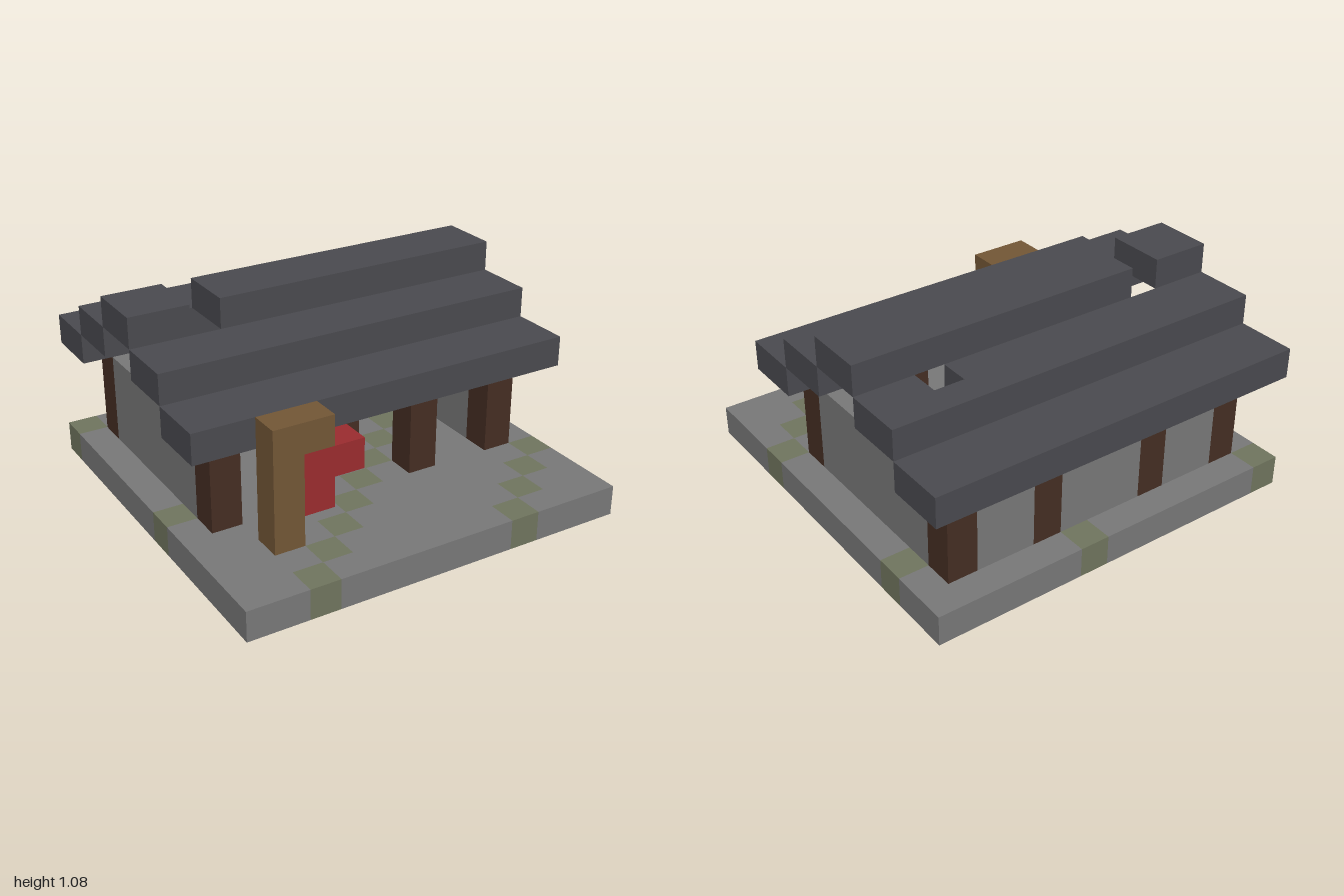
import * as THREE from 'three';
import { mergeGeometries } from 'three/addons/utils/BufferGeometryUtils.js';

const N = 13;        // cells along each side of the base
const U = 2 / N;     // size of one cell

const paint = (name, color) => {
  const m = new THREE.MeshStandardMaterial({ color });
  m.name = name;
  return m;
};

// Box covering whole cells: first cell (i, j, k) along x, y, z and its size in cells
function cells(i, j, k, w = 1, h = 1, d = 1) {
  return new THREE.BoxGeometry(w * U, h * U, d * U)
    .translate((i + w / 2) * U - 1, (j + h / 2) * U, (k + d / 2) * U - 1);
}

export function createModel() {
  const stone = paint('stone grey', 0x787878);
  const moss = paint('mossy stone', 0x70755e);
  const slate = paint('dark slate', 0x4a4a4f);
  const timber = paint('dark timber', 0x452e23);
  const oak = paint('oak wood', 0x735736);
  const red = paint('red cloth', 0x9b2c2f);

  const model = new THREE.Group();
  model.name = 'openHall';
  const add = (name, material, ...geos) => {
    const mesh = new THREE.Mesh(geos.length > 1 ? mergeGeometries(geos) : geos[0], material);
    mesh.name = name;
    model.add(mesh);
  };

  // Base slab: rows of stone broken by diagonal lines of mossy blocks
  const stoneRuns = [], mossBlocks = [];
  for (let k = 0; k < N; k++) {
    let start = 0;
    for (let i = 0; i <= N; i++) {
      const mossy = i < N && (i + k) % 7 === 0;
      if (!mossy && i < N) continue;
      if (i > start) stoneRuns.push(cells(start, 0, k, i - start));
      if (mossy) mossBlocks.push(cells(i, 0, k));
      start = i + 1;
    }
  }
  add('baseStone', stone, ...stoneRuns);
  add('baseMoss', moss, ...mossBlocks);

  // Posts along the open front and the back
  for (const i of [1, 4, 8, 11]) {
    add('frontPost', timber, cells(i, 1, 8, 1, 3));
    add('backPost', timber, cells(i, 1, 1, 1, 3));
  }

  // Walls: back panels between posts and the two sides
  add('backWall', stone,
    cells(2, 1, 1, 2, 3), cells(5, 1, 1, 3, 3), cells(9, 1, 1, 2, 3));
  for (const i of [1, 11]) add('sideWall', stone, cells(i, 1, 2, 1, 3, 6));

  // Stepped roof, two cells deep per step, with gaps in the ridge and rear slope
  add('frontEave', slate, cells(0, 4, 8, 13, 1, 2));
  add('backEave', slate, cells(0, 4, 0, 13, 1, 2));
  add('frontSlope', slate, cells(0, 5, 6, 13, 1, 2));
  add('backSlope', slate,
    cells(0, 5, 2, 13), cells(0, 5, 3, 10), cells(11, 5, 3, 2));
  add('ridge', slate, cells(0, 6, 4, 2, 1, 2), cells(3, 6, 4, 10, 1, 2));

  // Sign post with an arm and a hanging banner
  add('signPost', oak, cells(2, 1, 10, 1, 4));
  add('signArm', oak, cells(3, 4, 10));
  add('banner', red, cells(3, 2, 10, 1, 2), cells(4, 3, 10));

  // Table, the box on it and a stone stool at each end
  add('table', timber, cells(5, 1, 4, 3, 1, 2));
  add('tableBox', oak, cells(6, 2, 4));
  for (const i of [3, 9]) add('stool', stone, cells(i, 1, 4));

  return model;
}
